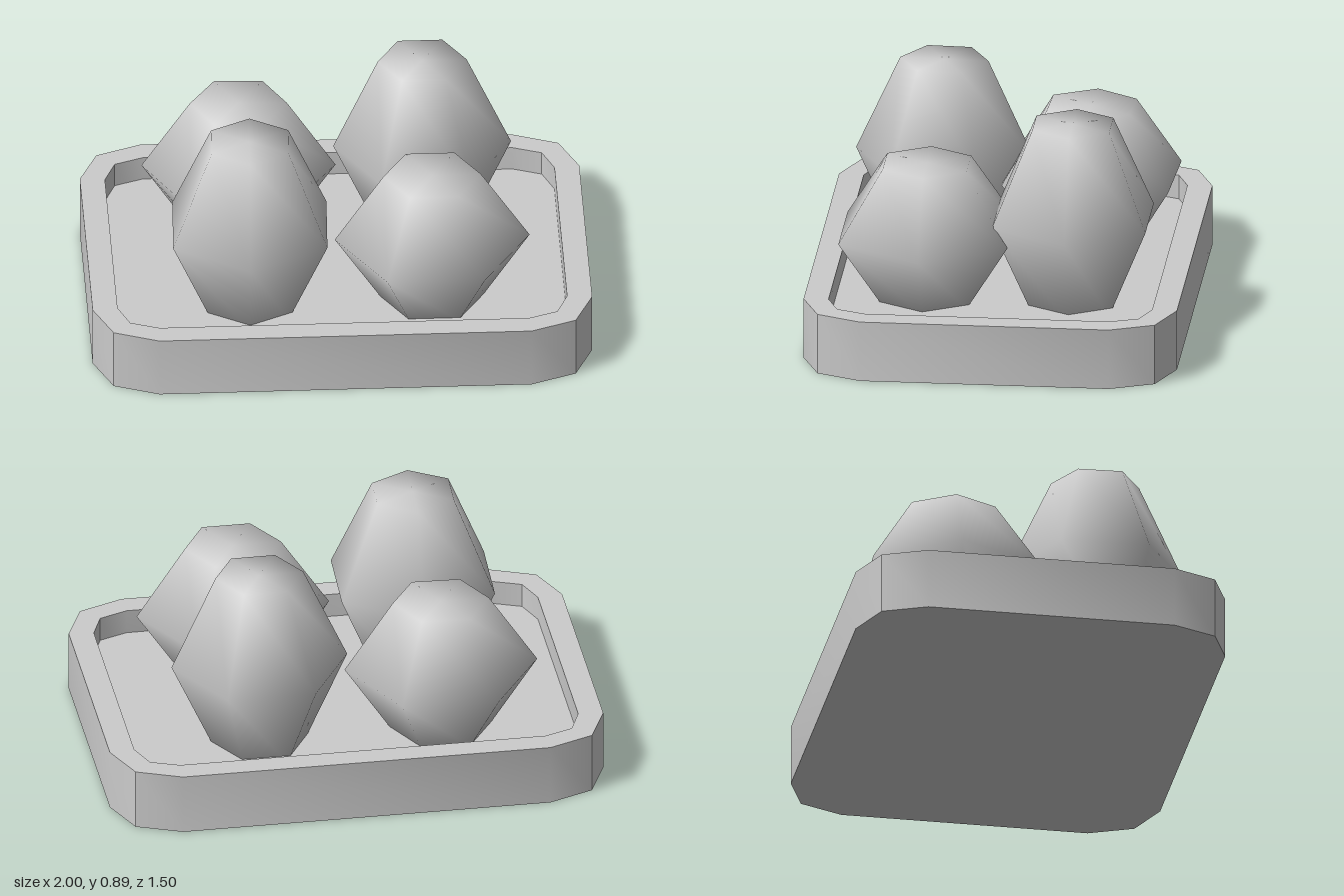
import * as THREE from 'three';
import { toCreasedNormals } from 'three/addons/utils/BufferGeometryUtils.js';

const material = new THREE.MeshStandardMaterial({ color: 0xcccccc });

// Rectangle outline with two-step chamfered corners; corner holds points of one quadrant
function outline(PathType, corner) {
  const back = [...corner].reverse();
  const mirrored = (pts, sx, sy) => pts.map(([x, y]) => new THREE.Vector2(x * sx, y * sy));
  return new PathType([
    ...mirrored(corner, 1, 1), ...mirrored(back, -1, 1),
    ...mirrored(corner, -1, -1), ...mirrored(back, 1, -1),
  ]);
}

// Upright slab from y0 to y1, smooth around its corners
function slab(name, shape, y0, y1) {
  const geo = new THREE.ExtrudeGeometry(shape, { depth: y1 - y0, bevelEnabled: false });
  geo.rotateX(-Math.PI / 2).translate(0, y0, 0);
  const mesh = new THREE.Mesh(toCreasedNormals(geo, 0.65), material);
  mesh.name = name;
  return mesh;
}

// Six-sided smooth fruit: wide at the middle, half as wide at both ends
function fruit(name, x, y, z, radius, halfHeight, turn) {
  const profile = [[0, -1], [0.5, -1], [1, 0], [0.5, 1], [0, 1]]
    .map(([r, h]) => new THREE.Vector2(r * radius, h * halfHeight));
  const mesh = new THREE.Mesh(new THREE.LatheGeometry(profile, 6), material);
  mesh.name = name;
  mesh.position.set(x, y, z);
  mesh.rotation.y = turn;
  return mesh;
}

export function createModel() {
  const model = new THREE.Group();
  model.name = 'fruitTray';

  // Tray: solid base under a raised rim
  const outer = [[1, 0.5], [0.925, 0.677], [0.745, 0.75]];
  const inner = [[0.9, 0.49], [0.855, 0.605], [0.74, 0.65]];
  const floorY = 0.15;
  const rim = outline(THREE.Shape, outer);
  rim.holes.push(outline(THREE.Path, inner));
  model.add(slab('trayRim', rim, 0, 0.25));
  model.add(slab('trayFloor', outline(THREE.Shape, inner), 0, floorY));

  // Two tall and two squat fruits, placed diagonally
  const sixth = Math.PI / 6;
  model.add(
    fruit('tallFruitBack', 0.36, 0.5, -0.295, 0.356, 0.39, sixth),
    fruit('tallFruitFront', -0.36, 0.5, 0.29, 0.356, 0.39, -0.04),
    fruit('squatFruitFront', 0.37, 0.42, 0.29, 0.39, 0.29, sixth),
    fruit('squatFruitBack', -0.375, 0.42, -0.3, 0.388, 0.29, sixth - 0.045),
  );
  return model;
}
